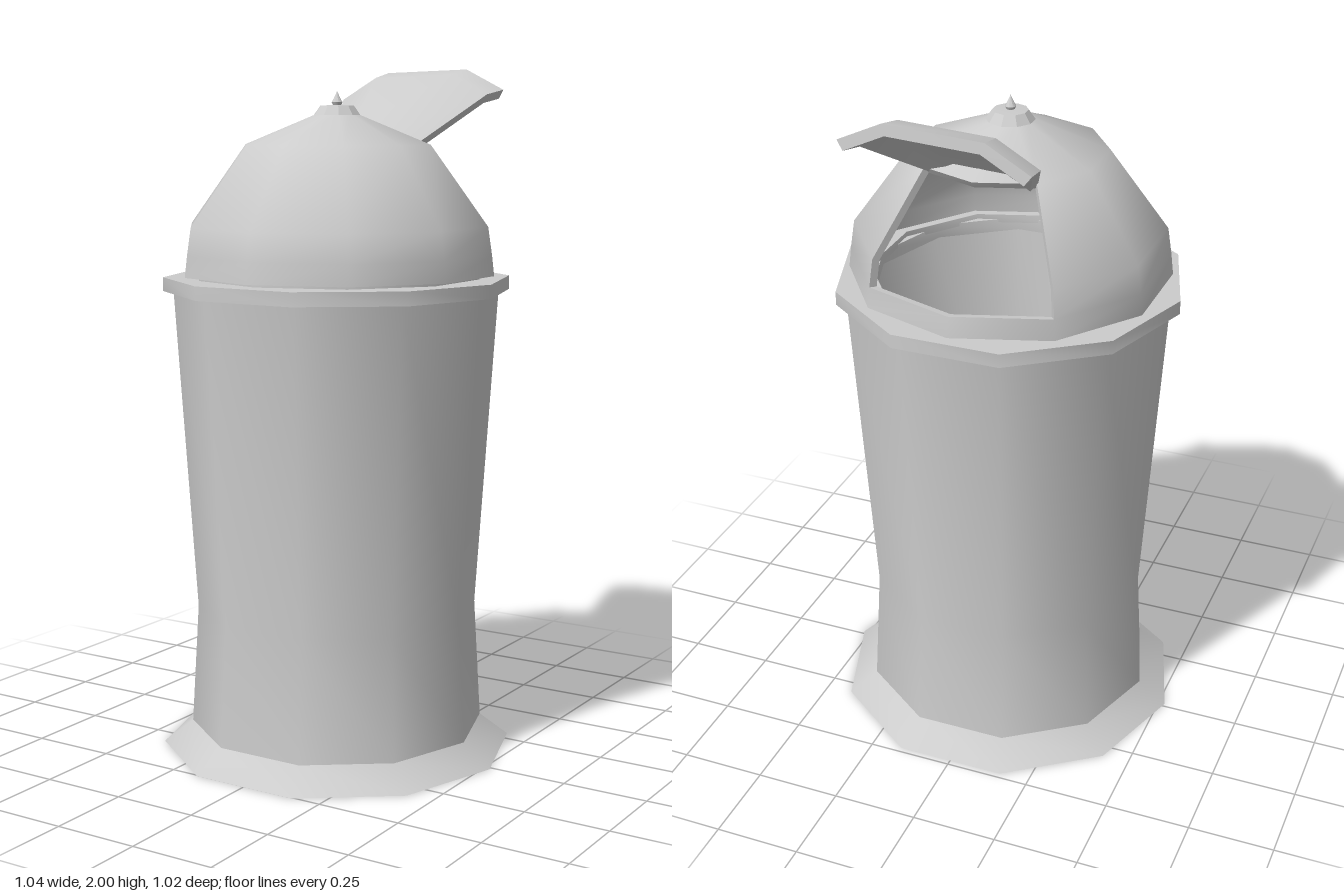
import * as THREE from 'three';
import { toCreasedNormals } from 'three/addons/utils/BufferGeometryUtils.js';

const SIDES = 10;
const STEP = (Math.PI * 2) / SIDES;
const DOME_BASE = 1.41;
const material = new THREE.MeshStandardMaterial({ color: 0xcccccc, side: THREE.DoubleSide });

function part(name, geometry, crease = 0.75) {
  const mesh = new THREE.Mesh(toCreasedNormals(geometry, crease), material);
  mesh.name = name;
  return mesh;
}

// Ten-sided turned shape; start is the angle of the first corner from +z
function turned(points, start, sides = SIDES) {
  return new THREE.LatheGeometry(points.map(([r, y]) => new THREE.Vector2(r, y)), sides, start);
}

// Thick shell swept around y. Angles run from the back towards +x.
// Cells for which isOpen(row, column) holds are left out, with walls round the gap.
function shell(profile, angles, scale, closed, isOpen = () => false) {
  const positions = [];
  const rows = profile.length - 1, columns = angles.length - 1;
  const point = (i, j, s) => {
    const [r, y] = profile[i], a = angles[j];
    return [r * s * Math.sin(a), DOME_BASE + (y - DOME_BASE) * s, -r * s * Math.cos(a)];
  };
  const quad = (a, b, c, d) => positions.push(...a, ...b, ...c, ...a, ...c, ...d);
  const empty = (i, j) => {
    if (closed) j = (j + columns) % columns;
    return i < 0 || i >= rows || j < 0 || j >= columns || isOpen(i, j);
  };
  for (let i = 0; i < rows; i++) {
    for (let j = 0; j < columns; j++) {
      if (empty(i, j)) continue;
      const out = (di, dj) => point(i + di, j + dj, 1);
      const inn = (di, dj) => point(i + di, j + dj, scale);
      quad(out(0, 1), out(0, 0), out(1, 0), out(1, 1));
      quad(inn(0, 0), inn(0, 1), inn(1, 1), inn(1, 0));
      if (empty(i + 1, j)) quad(out(1, 1), out(1, 0), inn(1, 0), inn(1, 1));
      if (empty(i - 1, j)) quad(out(0, 0), out(0, 1), inn(0, 1), inn(0, 0));
      if (empty(i, j - 1)) quad(out(0, 0), inn(0, 0), inn(1, 0), out(1, 0));
      if (empty(i, j + 1)) quad(inn(0, 1), out(0, 1), out(1, 1), inn(1, 1));
    }
  }
  const geometry = new THREE.BufferGeometry();
  geometry.setAttribute('position', new THREE.Float32BufferAttribute(positions, 3));
  return geometry;
}

export function createModel() {
  const bin = new THREE.Group();
  bin.name = 'bin';
  bin.position.z = 0.012;

  // Hollow waisted body with a flared foot and a recessed underside
  bin.add(part('body', turned([
    [0, 0.05], [0.40, 0.05], [0.40, 0.03], [0.44, 0.03], [0.52, 0], [0.435, 0.065],
    [0.414, 0.42], [0.475, 1.36], [0.45, 1.36], [0.39, 0.42], [0.41, 0.08], [0, 0.08],
  ], Math.PI / 2)));

  // Rim round the mouth and the neck the lid sits on
  bin.add(part('rim', turned([
    [0.40, 1.36], [0.505, 1.36], [0.505, 1.40], [0.40, 1.40], [0.40, 1.36],
  ], Math.PI / 2)));
  bin.add(part('neck', turned([
    [0.40, 1.39], [0.42, 1.39], [0.42, 1.415], [0.40, 1.415], [0.40, 1.39],
  ], 0)));

  // Domed lid with an opening two panels wide at the back
  const angles = Array.from({ length: SIDES + 1 }, (_, j) => j * STEP);
  const domeProfile = [[0.462, DOME_BASE], [0.455, 1.47], [0.443, 1.55], [0.275, 1.78], [0.06, 1.867]];
  const isDoorway = (i, j) => (i === 1 || i === 2) && (j === 0 || j === SIDES - 1);
  bin.add(part('domeLid', shell(domeProfile, angles, 0.95, true, isDoorway), 0.9));

  // Flap, swung up a quarter turn about the top edge of the opening
  const flapGeometry = shell(
    [[0.46, 1.47], [0.443, 1.55], [0.27, 1.78]],
    [-1, -0.5, 0.5, 1].map((k) => k * STEP), 0.93, false,
  );
  flapGeometry.rotateX(Math.PI / 2).translate(0, -0.24, -1.767);
  const flap = part('flap', flapGeometry, 0.6);
  flap.position.set(0, 1.8, -0.21);
  flap.rotation.set(0, -0.046, 0.025);
  bin.add(flap);

  // Knob and its small pointed tip
  bin.add(part('knob', turned([[0, 1.85], [0.07, 1.862], [0.05, 1.89], [0, 1.893]], 0), 0.5));
  bin.add(part('knobTip', turned([[0.009, 1.885], [0.016, 1.9], [0.009, 1.912], [0, 1.932]], 0, 8)));

  const model = new THREE.Group();
  model.add(bin);
  return model;
}
